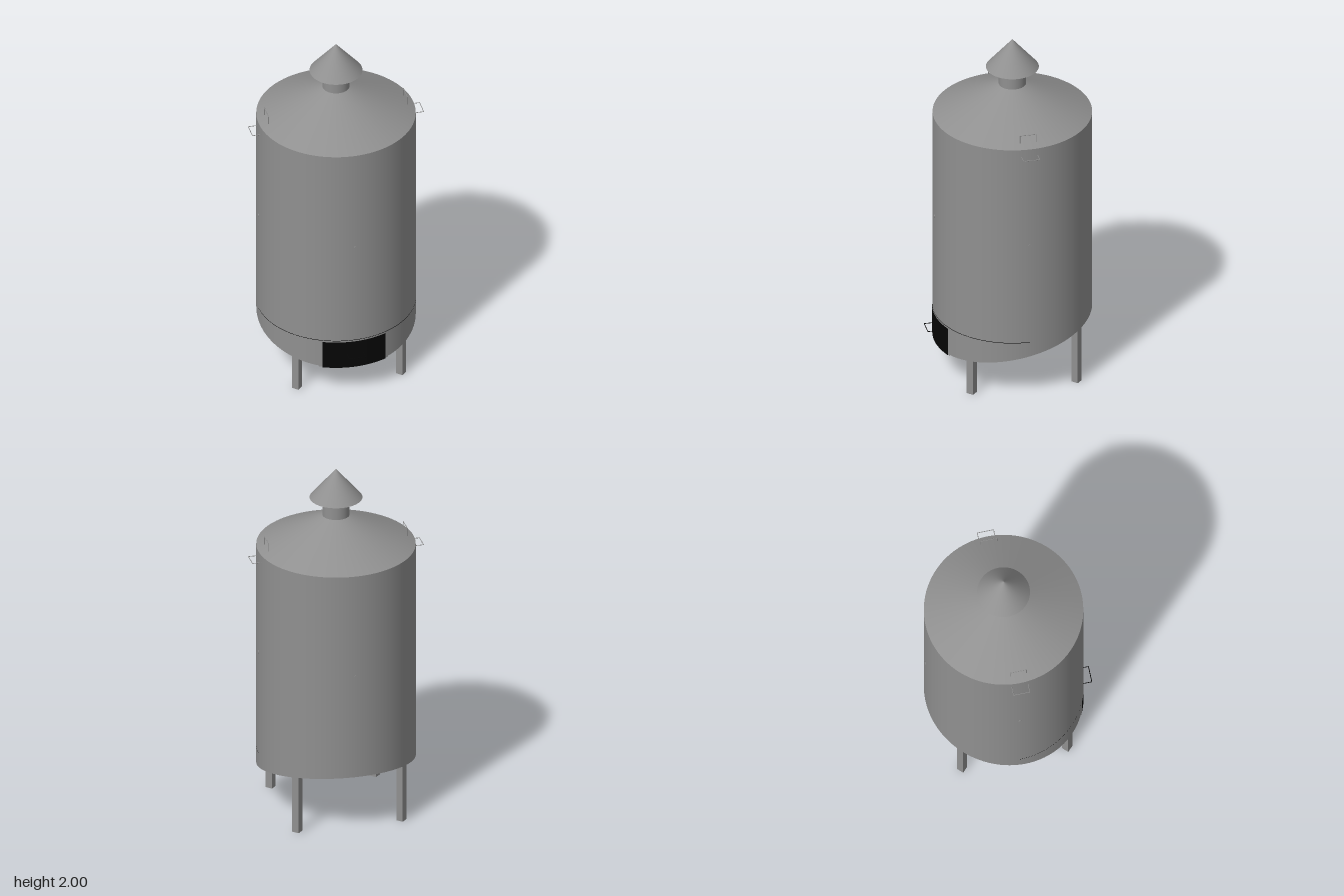
import * as THREE from 'three';

const R = 0.431, SEG = 96, EAVE = 1.553;
// Height of the sloping floor at depth z (measured from the tank axis)
const floorY = z => 0.266 - (z / R) * 0.0875;

export function createModel() {
  const model = new THREE.Group();
  model.name = 'tank';
  model.position.z = -0.025;

  const grey = new THREE.MeshStandardMaterial({ color: 0x909090, side: THREE.DoubleSide });
  const black = new THREE.MeshStandardMaterial({ color: 0x060606, side: THREE.DoubleSide });

  function add(name, geometry, material = grey) {
    const mesh = new THREE.Mesh(geometry, material);
    mesh.name = name;
    model.add(mesh);
  }

  // Open tube or cone section between two heights
  function shell(rTop, rBottom, y0, y1, start = 0, length = Math.PI * 2, seg = SEG) {
    return new THREE.CylinderGeometry(rTop, rBottom, y1 - y0, seg, 1, true, start, length)
      .translate(0, (y0 + y1) / 2, 0);
  }

  // Drop the lowest vertices onto the sloping floor
  function slopeBottom(geometry) {
    const p = geometry.attributes.position;
    for (let i = 0; i < p.count; i++) {
      if (p.getY(i) < 0.1) p.setY(i, floorY(p.getZ(i)));
    }
    return geometry;
  }

  // Square-cornered rod handle through a list of points
  function handle(name, points, material = grey) {
    const v = points.map(a => new THREE.Vector3(...a));
    const group = new THREE.Group();
    group.name = name;
    for (let i = 1; i < v.length; i++) {
      const line = new THREE.LineCurve3(v[i - 1], v[i]);
      const rod = new THREE.Mesh(new THREE.TubeGeometry(line, 1, 0.002, 8), material);
      rod.name = 'handleRod';
      group.add(rod);
    }
    model.add(group);
  }

  // Wall, sloping floor and conical roof
  add('wall', slopeBottom(shell(R, R, 0, EAVE)));
  const floor = slopeBottom(new THREE.CircleGeometry(R, SEG).rotateX(Math.PI / 2));
  floor.computeVertexNormals();
  add('floor', floor);
  add('roof', shell(0.074, R, EAVE, 1.728));

  // Seam around the front half
  add('seam', shell(R + 0.002, R + 0.002, 0.3535, 0.3565, -Math.PI / 2, Math.PI, 48), black);

  // Chimney neck, collar and open rain cap
  add('neck', shell(0.074, 0.074, 1.72, 1.88));
  add('collar', shell(0.093, 0.093, 1.8, 1.89));
  add('collarBase', new THREE.RingGeometry(0.074, 0.093, SEG).rotateX(Math.PI / 2).translate(0, 1.8, 0));
  add('rainCap', shell(0, 0.143, 1.831, 2));

  // Curved hatch with side jambs
  const half = Math.asin(0.175 / R);
  add('hatch', shell(R + 0.002, R + 0.002, 0.18, 0.345, -half, half * 2, 24), black);
  for (const s of [-1, 1]) {
    add('hatchJamb', shell(R + 0.002, R + 0.002, 0.184, 0.345, s * (half + 0.02) - 0.02, 0.04, 3));
  }
  handle('hatchHandle', [
    [-0.045, 0.265, R - 0.005], [-0.045, 0.265, 0.478], [0.045, 0.265, 0.478], [0.045, 0.265, R - 0.005],
  ], black);

  // Lifting handles on the wall and roof, both sides
  for (const s of [-1, 1]) {
    handle('wallHandle', [
      [s * 0.42, 1.51, -0.045], [s * 0.477, 1.51, -0.045], [s * 0.477, 1.51, 0.045], [s * 0.42, 1.51, 0.045],
    ]);
    handle('roofHandle', [
      [s * 0.387, 1.57, -0.045], [s * 0.387, 1.618, -0.045], [s * 0.387, 1.618, 0.045], [s * 0.387, 1.57, 0.045],
    ]);
  }

  // Small studs at the four quarters
  for (let i = 0; i < 4; i++) {
    const stud = new THREE.CylinderGeometry(0.008, 0.008, 0.008, 16).rotateX(Math.PI / 2)
      .translate(0, 0.955, R - 0.001).rotateY(i * Math.PI / 2);
    add('stud', stud);
  }

  // Square legs turned to face the axis, cut to the floor slope
  for (const x of [-0.29, 0.29]) {
    for (const z of [-0.29, 0.29]) {
      const leg = new THREE.BoxGeometry(0.04, 1, 0.04).rotateY(Math.PI / 4).translate(x, 0.5, z);
      const p = leg.attributes.position;
      for (let i = 0; i < p.count; i++) {
        if (p.getY(i) > 0.5) p.setY(i, floorY(p.getZ(i)));
      }
      leg.computeVertexNormals();
      add('leg', leg);
    }
  }
  return model;
}
